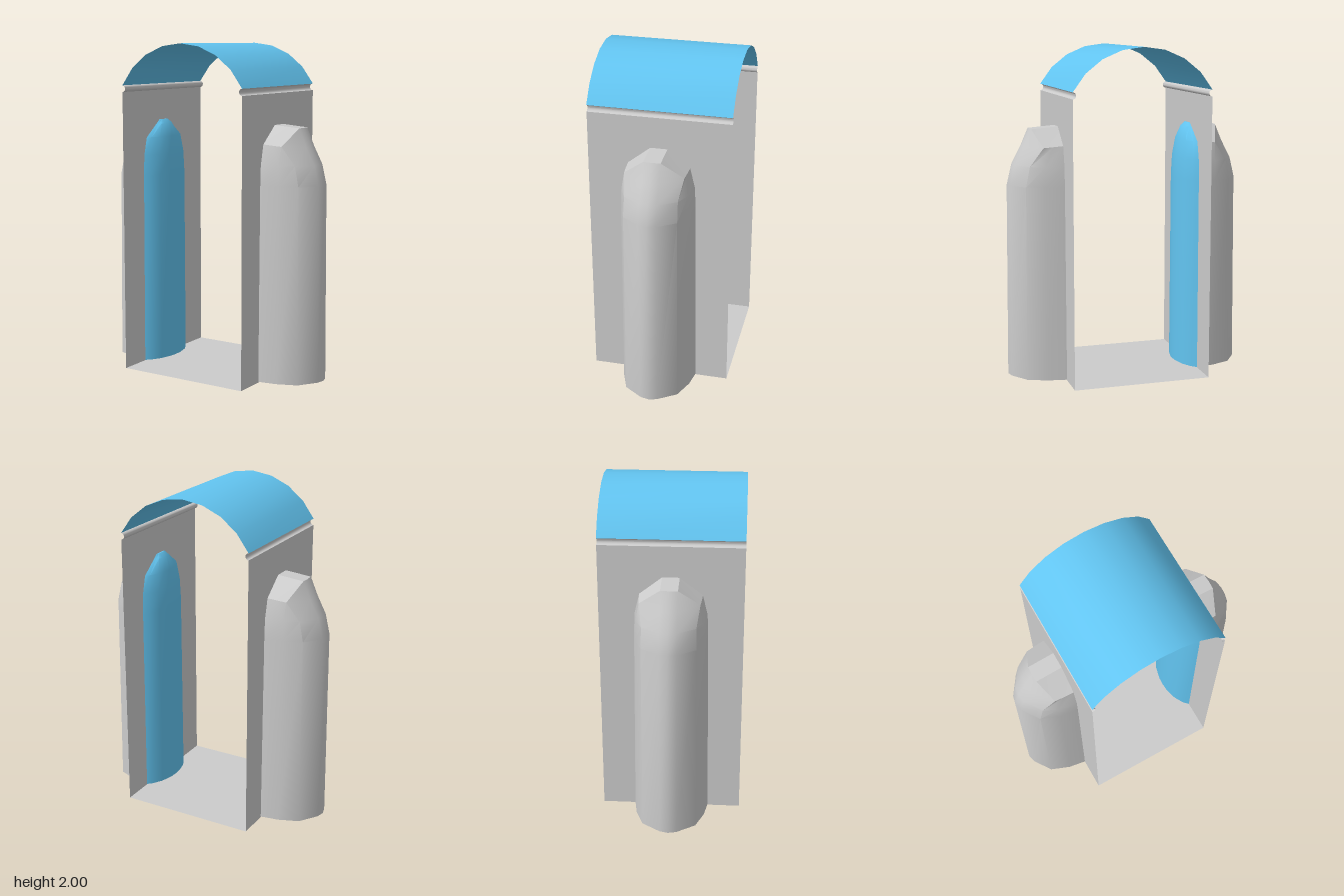
import * as THREE from 'three';
import { toCreasedNormals } from 'three/addons/utils/BufferGeometryUtils.js';

const HALF = 0.42;  // half width and half depth of the frame
const grey = new THREE.MeshStandardMaterial({ color: 0xcccccc });
const greySheet = new THREE.MeshStandardMaterial({ color: 0xcccccc, side: THREE.DoubleSide });
const blue = new THREE.MeshStandardMaterial({ color: 0x62c4f0, side: THREE.DoubleSide });

function finish(positions, crease) {
  const g = new THREE.BufferGeometry();
  g.setAttribute('position', new THREE.Float32BufferAttribute(positions, 3));
  return toCreasedNormals(g, crease);
}

function named(name, geometry, material) {
  const mesh = new THREE.Mesh(geometry, material);
  mesh.name = name;
  return mesh;
}

// Thin sheet: an x-y profile drawn out along z
function sheet(profile) {
  const pos = [];
  for (let i = 0; i < profile.length - 1; i++) {
    const [ax, ay] = profile[i], [bx, by] = profile[i + 1];
    const a = [ax, ay, HALF], b = [bx, by, HALF], c = [bx, by, -HALF], d = [ax, ay, -HALF];
    pos.push(...a, ...c, ...b, ...a, ...d, ...c);
  }
  return finish(pos, 0.7);
}

function arc(cx, cy, r, from, to, n) {
  return Array.from({ length: n + 1 }, (_, i) => {
    const t = from + (to - from) * i / n;
    return [cx + r * Math.cos(t), cy + r * Math.sin(t)];
  });
}

// Closed loft through horizontal sections. Each is [y, slope, half outline],
// the outline running as [distance from wall, z] from the wall to the middle.
function loft(sections, dir) {
  const rings = sections.map(([y, slope, half]) => {
    const outline = [...half, ...half.slice(0, -1).reverse().map(([d, z]) => [d, -z])];
    const ring = outline.map(([d, z]) => [HALF + dir * d, y - d * slope, z]);
    return dir > 0 ? ring : ring.reverse();
  });
  const pos = [];
  for (let j = 0; j < rings.length - 1; j++) {
    for (let i = 0; i < rings[j].length - 1; i++) {
      const a = rings[j][i], b = rings[j][i + 1], c = rings[j + 1][i + 1], d = rings[j + 1][i];
      pos.push(...a, ...b, ...c, ...a, ...c, ...d);
    }
  }
  const bottom = rings[0], top = rings[rings.length - 1];
  for (let i = 1; i < top.length - 1; i++) {
    pos.push(...top[0], ...top[i], ...top[i + 1]);
    pos.push(...bottom[0], ...bottom[i + 1], ...bottom[i]);
  }
  return finish(pos, 0.6);
}

// Outer pod: tall sides, then a dome cut by sloping roof facets
const outerSections = [
  [0.004, 0, [[0, 0.225], [0.11, 0.207], [0.23, 0.16], [0.305, 0.05], [0.317, 0]]],
  [1.18, 0, [[0, 0.215], [0.11, 0.2], [0.22, 0.157], [0.294, 0.05], [0.306, 0]]],
  [1.3, 0, [[0, 0.21], [0.11, 0.195], [0.195, 0.155], [0.265, 0.05], [0.272, 0]]],
  [1.42, 0.08, [[0, 0.182], [0.06, 0.179], [0.116, 0.174], [0.21, 0.05], [0.218, 0]]],
  [1.524, 0.08, [[0, 0.05], [0.08, 0.05], [0.163, 0.05], [0.163, 0.05], [0.166, 0]]],
];

// Inner pod: a shallow bulge of the same arched outline
const innerSections = [
  [0.002, 0, [[0, 0.22], [0.03, 0.19], [0.064, 0.13], [0.084, 0.05], [0.087, 0]]],
  [1.18, 0, [[0, 0.213], [0.03, 0.185], [0.063, 0.125], [0.082, 0.05], [0.085, 0]]],
  [1.31, 0, [[0, 0.208], [0.026, 0.18], [0.058, 0.12], [0.076, 0.05], [0.079, 0]]],
  [1.42, 0, [[0, 0.18], [0.02, 0.155], [0.045, 0.1], [0.058, 0.05], [0.061, 0]]],
  [1.5, 0, [[0, 0.075], [0.01, 0.065], [0.025, 0.055], [0.032, 0.03], [0.035, 0]]],
  [1.524, 0, [[0, 0.045], [0.004, 0.04], [0.006, 0.03], [0.008, 0.02], [0.008, 0]]],
];

function createSide(name) {
  const side = new THREE.Group();
  side.name = name;
  side.add(named('wall', sheet([[HALF, 0], [HALF, 1.71]]), greySheet));
  // Half-round gutter, set inward between wall and roof
  side.add(named('gutter', sheet(arc(HALF, 1.73, 0.02, 1.5 * Math.PI, 0.5 * Math.PI, 8)), greySheet));
  side.add(named('outerPod', loft(outerSections, 1), grey));
  side.add(named('innerPod', loft(innerSections, -1), blue));
  // Low disc under the outer pod
  const foot = named('footDisc', new THREE.CylinderGeometry(0.13, 0.13, 0.004, 24), grey);
  foot.position.set(0.565, 0.002, 0);
  side.add(foot);
  return side;
}

export function createModel() {
  const model = new THREE.Group();
  model.name = 'archedFrame';

  const left = createSide('leftSide');
  const right = createSide('rightSide');
  right.rotation.y = Math.PI;
  model.add(left, right);

  model.add(named('floor', sheet([[HALF, 0], [-HALF, 0]]), greySheet));

  // Roof: circular arc rising from y = 1.75 to 2
  const rise = 0.25;
  const r = (HALF * HALF + rise * rise) / (2 * rise);
  const half = Math.asin(HALF / r);
  model.add(named('roof', sheet(arc(0, 2 - r, r, Math.PI / 2 - half, Math.PI / 2 + half, 8)), blue));
  return model;
}
